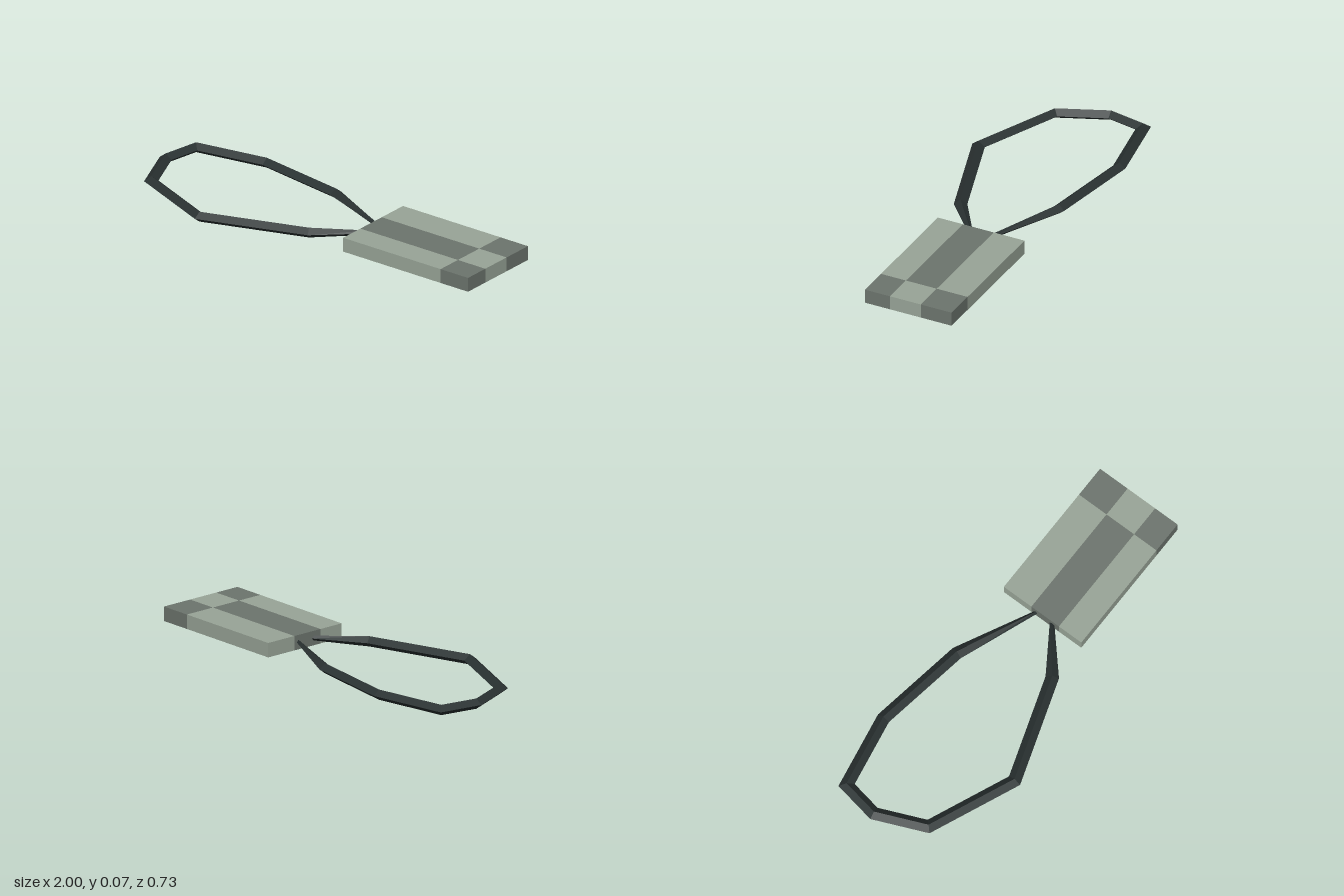
import * as THREE from 'three';

const mat = (name, color) => {
  const m = new THREE.MeshStandardMaterial({ color });
  m.name = name;
  return m;
};

// Flat block divided into 2 x 3 cells, coloured alternately on every side
function checkedBlock(xs, zs, height, materials) {
  const geo = new THREE.BoxGeometry(2, height, 3, 2, 1, 3).toNonIndexed();
  const p = geo.attributes.position;
  geo.clearGroups();
  for (let i = 0; i < p.count; i += 3) {
    const mid = (get) => (get(i) + get(i + 1) + get(i + 2)) / 3;
    const col = Math.min(1, Math.floor(mid((k) => p.getX(k)) + 1));
    const row = Math.min(2, Math.floor(mid((k) => p.getZ(k)) + 1.5));
    geo.addGroup(i, 3, (col + row) % 2);
  }
  for (let i = 0; i < p.count; i++) {
    p.setXYZ(i, xs[Math.round(p.getX(i) + 1)], p.getY(i) + height / 2, zs[Math.round(p.getZ(i) + 1.5)]);
  }
  return new THREE.Mesh(geo, materials);
}

// Diamond-section cord with mitred corners; path entries are [x, z, half width, half height]
function diamondCord(path, y, material) {
  const pos = [], index = [];
  const dir = (a, b) => new THREE.Vector2(b[0] - a[0], b[1] - a[1]).normalize();
  path.forEach(([x, z, w, h], i) => {
    const before = dir(path[Math.max(i - 1, 0)], path[Math.max(i, 1)]);
    const last = path.length - 1;
    const after = dir(path[Math.min(i, last - 1)], path[Math.min(i + 1, last)]);
    const t = before.clone().add(after).normalize();
    const r = w / t.dot(before);
    const ox = -t.y * r, oz = t.x * r;
    pos.push(x + ox, y, z + oz, x, y + h, z, x - ox, y, z - oz, x, y - h, z);
    if (i === last) return;
    for (let k = 0; k < 4; k++) {
      const a = i * 4 + k, b = i * 4 + (k + 1) % 4;
      index.push(a, b + 4, b, a, a + 4, b + 4);
    }
  });
  const indexed = new THREE.BufferGeometry();
  indexed.setAttribute('position', new THREE.Float32BufferAttribute(pos, 3));
  indexed.setIndex(index);
  const geo = indexed.toNonIndexed();
  geo.computeVertexNormals();
  return new THREE.Mesh(geo, material);
}

export function createModel() {
  const group = new THREE.Group();
  const light = mat('light grey green', 0x99a598);
  const dark = mat('dark grey green', 0x6d756e);
  const cordMat = mat('cord black', 0x2a3232);
  cordMat.flatShading = true;

  const tag = checkedBlock([0.27, 0.84, 1], [-0.28, -0.12, 0.04, 0.17], 0.07, [light, dark]);
  tag.name = 'tag';

  // Strap loop, thinning where it enters the tag
  const W = 0.031, H = 0.025;
  const cord = diamondCord([
    [0.28, -0.09, 0.008, 0.011],
    [-0.11, -0.262, W, H],
    [-0.57, -0.336, W, H],
    [-0.933, -0.272, W, H],
    [-0.967, -0.087, W, H],
    [-0.865, 0.152, W, H],
    [-0.445, 0.33, W, H],
    [0.063, 0.16, W, H],
    [0.28, -0.008, 0.01, 0.011],
  ], 0.035, cordMat);
  cord.name = 'strapLoop';

  group.add(tag, cord);
  return group;
}
